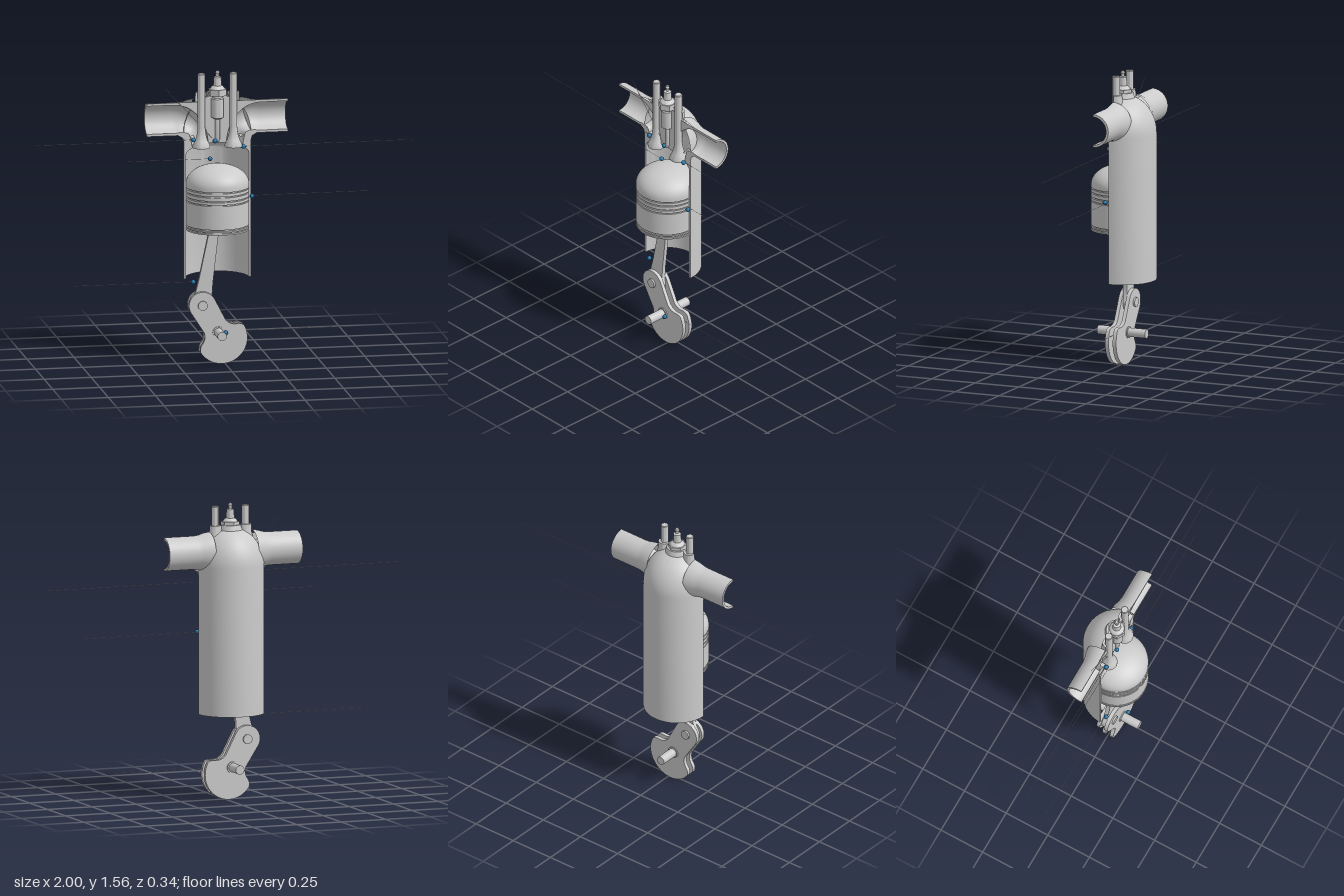
import * as THREE from 'three';
import { toCreasedNormals } from 'three/addons/utils/BufferGeometryUtils.js';
import { ParametricGeometry } from 'three/addons/geometries/ParametricGeometry.js';

const V2 = (x, y) => new THREE.Vector2(x, y);
const V3 = (x, y, z = 0) => new THREE.Vector3(x, y, z);
const grey = new THREE.MeshStandardMaterial({ color: 0xcccccc });
const greyDouble = new THREE.MeshStandardMaterial({ color: 0xcccccc, side: THREE.DoubleSide });
const blue = new THREE.MeshStandardMaterial({ color: 0x2277aa });

function add(parent, name, geometry, material = grey, x = 0, y = 0, z = 0) {
  const mesh = new THREE.Mesh(geometry, material);
  mesh.name = name;
  mesh.position.set(x, y, z);
  parent.add(mesh);
  return mesh;
}

// Lathe from [radius, height] pairs; half = only the rear half
function lathe(points, half = false, segments = 48) {
  const pts = points.map(([r, y]) => V2(r, y));
  const g = half
    ? new THREE.LatheGeometry(pts, segments / 2, Math.PI / 2, Math.PI)
    : new THREE.LatheGeometry(pts, segments);
  return toCreasedNormals(g, 0.6);
}

// Quarter ellipse from the rim (r, y) to the axis (0, y + h)
function domeArc(r, y, h, from = 0, to = Math.PI / 2, n = 14) {
  return Array.from({ length: n + 1 }, (_, i) => {
    const a = from + (to - from) * i / n;
    return [Math.max(0, r * Math.cos(a)), y + h * Math.sin(a)];
  });
}

function plate(shape, depth) {
  const g = new THREE.ExtrudeGeometry(shape, { depth, bevelEnabled: false, curveSegments: 32 });
  return toCreasedNormals(g.translate(0, 0, -depth / 2), 0.6);
}

// Port channel: horizontal at the pipe end, bending down to the valve seat
const portPath = new THREE.CatmullRomCurve3([
  V3(0.375, 1.317), V3(0.27, 1.317), V3(0.18, 1.31), V3(0.115, 1.265), V3(0.088, 1.17),
]);
function portPoint(t, angle) {
  const p = portPath.getPoint(t), d = portPath.getTangent(t);
  const r = 0.075 - 0.03 * THREE.MathUtils.smoothstep(t, 0.35, 0.85);
  const c = Math.cos(angle) * r;
  return V3(p.x - d.y * c, p.y + d.x * c, -Math.sin(angle) * r);
}
const portEdge = (angle) => Array.from({ length: 25 }, (_, i) => {
  const p = portPoint(i / 24, angle);
  return [p.x, p.y];
});

function buildCylinder(g) {
  // Half cylinder with domed head and domed combustion roof
  add(g, 'cylinderShell', lathe([
    ...domeArc(0.168, 1.12, 0.065).reverse(), [0.168, 0.46], [0.178, 0.46],
    ...domeArc(0.178, 1.24, 0.2),
  ], true, 64), greyDouble);

  const outer = portEdge(0), inner = portEdge(Math.PI);
  const [lower, upper] = outer[0][1] < inner[0][1] ? [outer, inner] : [inner, outer];
  const seatAngle = Math.acos(0.048 / 0.168);
  const roof = domeArc(0.168, 1.12, 0.065, seatAngle, Math.PI / 2, 8);
  const face = (pts) => new THREE.ShapeGeometry(new THREE.Shape(pts.map(([x, y]) => V2(x, y))));

  for (const s of [-1, 1]) {
    const mirror = (pts) => pts.map(([x, y]) => [x * s, y]);
    const side = s < 0 ? 'intake' : 'exhaust';
    // Cut faces of the wall and of the head
    add(g, side + 'WallSection', face(mirror([
      [0.375, 1.229], [0.21, 1.229], [0.185, 1.215], [0.178, 1.19], [0.178, 0.46], [0.168, 0.46],
      ...domeArc(0.168, 1.12, 0.065, 0, 0.66, 6), ...lower.slice().reverse(),
    ])), greyDouble);
    add(g, side + 'HeadSection', face(mirror([
      [0.375, 1.405], ...upper, ...roof, ...domeArc(0.178, 1.24, 0.2, 0.97).reverse(),
    ])), greyDouble);
    // Port lining
    add(g, side + 'Port', new ParametricGeometry((u, v, target) => {
      const p = portPoint(u, v * Math.PI);
      target.set(p.x * s, p.y, p.z);
    }, 30, 20), greyDouble);
    // Half pipe, flared where it meets the cylinder
    const pipe = add(g, side + 'Pipe', lathe([
      [0.105, 0.12], [0.1, 0.155], [0.092, 0.18], [0.088, 0.21], [0.088, 0.375], [0.075, 0.375],
    ], true), greyDouble, 0, 1.317);
    pipe.rotation.z = -s * Math.PI / 2;
    // Valve guide boss
    add(g, side + 'ValveGuide', lathe([[0.045, 1.37], [0.034, 1.41], [0.032, 1.455], [0, 1.455]], true, 32),
      greyDouble, s * 0.085);
    // Valve
    add(g, side + 'Valve', lathe([
      [0, 1.16], [0.046, 1.16], [0.046, 1.172], [0.034, 1.195], [0.025, 1.225],
      [0.02, 1.265], [0.02, 1.552], [0.017, 1.556], [0, 1.556],
    ], false, 32), grey, s * 0.085);
  }
  add(g, 'injectorBoss', lathe([[0.07, 1.4], [0.055, 1.455], [0, 1.455]], true, 32), greyDouble);
}

function buildInjector(g) {
  const injector = new THREE.Group();
  injector.name = 'injector';
  g.add(injector);
  add(injector, 'injectorBody', lathe([
    [0, 1.185], [0.008, 1.19], [0.014, 1.21], [0.014, 1.31], [0.033, 1.32], [0.033, 1.42],
    [0.026, 1.425], [0.026, 1.44], [0, 1.44],
  ], false, 32));
  const nut = new THREE.CylinderGeometry(0.05, 0.05, 0.034, 6);
  add(injector, 'injectorNut', toCreasedNormals(nut, 0.5), grey, 0, 1.455);
  add(injector, 'injectorTip', lathe([
    [0.04, 1.472], [0.03, 1.486], [0.022, 1.49], [0.02, 1.535], [0.009, 1.54],
    [0.009, 1.55], [0.012, 1.558], [0.008, 1.568], [0, 1.57],
  ], false, 24));
}

function buildPiston(g) {
  // Hollow piston with ring grooves cut into the skirt
  const grooves = [0.733, 0.747, 0.88, 0.9, 0.925, 0.947];
  const R = 0.166, skirt = [[R, 0.722]];
  for (const y of grooves) {
    skirt.push([R, y - 0.003], [R - 0.008, y - 0.003], [R - 0.008, y + 0.003], [R, y + 0.003]);
  }
  add(g, 'piston', lathe([
    [0, 0.93], [0.14, 0.9], [0.14, 0.722], ...skirt, ...domeArc(R, 0.965, 0.105),
  ], false, 64));
  const pin = add(g, 'pistonPin', new THREE.CylinderGeometry(0.025, 0.025, 0.29, 24), grey, 0, 0.83);
  pin.rotation.x = Math.PI / 2;
}

function buildCrank(g) {
  const pinAt = V2(-0.084, 0.32), shaftY = 0.175;

  // Tapered connecting rod, drawn upwards from the crank pin
  const length = Math.hypot(pinAt.x, 0.83 - pinAt.y);
  const rodShape = new THREE.Shape();
  rodShape.absarc(0, 0, 0.058, Math.PI * 0.8, Math.PI * 2.2, false);
  rodShape.lineTo(0.038, 0.13);
  rodShape.lineTo(0.024, length - 0.09);
  rodShape.absarc(0, length, 0.04, -0.9, Math.PI + 0.9, false);
  rodShape.lineTo(-0.024, length - 0.09);
  rodShape.lineTo(-0.038, 0.13);
  const rod = add(g, 'connectingRod', plate(rodShape, 0.022), grey, pinAt.x, pinAt.y);
  rod.rotation.z = Math.atan2(pinAt.x, 0.83 - pinAt.y);

  // Crank webs with fan-shaped counterweights
  const crank = new THREE.Group();
  crank.name = 'crankshaft';
  crank.position.y = shaftY;
  crank.rotation.z = Math.PI / 6;
  g.add(crank);
  const web = new THREE.Shape();
  web.absarc(0, 0.168, 0.072, 0, Math.PI, false);
  web.lineTo(-0.066, 0.04);
  web.quadraticCurveTo(-0.07, 0.005, -0.105, -0.012);
  web.quadraticCurveTo(-0.128, -0.022, -0.134, -0.045);
  web.absarc(0, -0.038, 0.135, Math.PI, Math.PI * 2, false);
  web.quadraticCurveTo(0.128, -0.022, 0.105, -0.012);
  web.quadraticCurveTo(0.07, 0.005, 0.066, 0.04);
  for (const s of [-1, 1]) {
    add(crank, 'crankWeb', plate(web, 0.02), grey, 0, 0, s * 0.022);
    const stub = add(crank, 'mainShaft', new THREE.CylinderGeometry(0.024, 0.024, 0.126, 24), grey, 0, 0, s * 0.075);
    stub.rotation.x = Math.PI / 2;
    const collar = add(crank, 'shaftCollar', new THREE.CylinderGeometry(0.031, 0.031, 0.008, 24), grey, 0, 0, s * 0.034);
    collar.rotation.x = Math.PI / 2;
  }
  const pin = add(crank, 'crankPin', new THREE.CylinderGeometry(0.025, 0.025, 0.083, 24), grey, 0, 0.168);
  pin.rotation.x = Math.PI / 2;
}

// Blue marker beads with thin pointer lines
function buildPointers(root) {
  const pointers = [
    [-0.165, 1.205, 0.02, -1, 1.205], [-0.05, 1.195, 0.02, -0.31, 1.48],
    [-0.075, 1.1, 0.015, -0.51, 1.1], [0.1, 1.16, 0.02, 1, 1.16],
    [0.145, 0.895, 0.03, 0.79, 0.895], [-0.165, 0.445, 0.02, -0.8, 0.445],
    [0, 0.175, 0.06, 0.65, 0.175],
  ];
  for (const [x, y, z, ex, ey] of pointers) {
    add(root, 'markerBead', new THREE.SphereGeometry(0.012, 16, 12), blue, x, y, z);
    const line = new THREE.LineCurve3(V3(x, y, Math.min(z, 0.015)), V3(ex, ey, 0.01));
    add(root, 'pointerLine', new THREE.TubeGeometry(line, 1, 0.001, 4));
  }
}

export function createModel() {
  const root = new THREE.Group();
  root.name = 'engineCutaway';
  const engine = new THREE.Group();
  engine.name = 'engine';
  engine.position.set(-0.035, 0, 0.01);
  root.add(engine);
  buildCylinder(engine);
  buildInjector(engine);
  buildPiston(engine);
  buildCrank(engine);
  buildPointers(root);
  return root;
}
